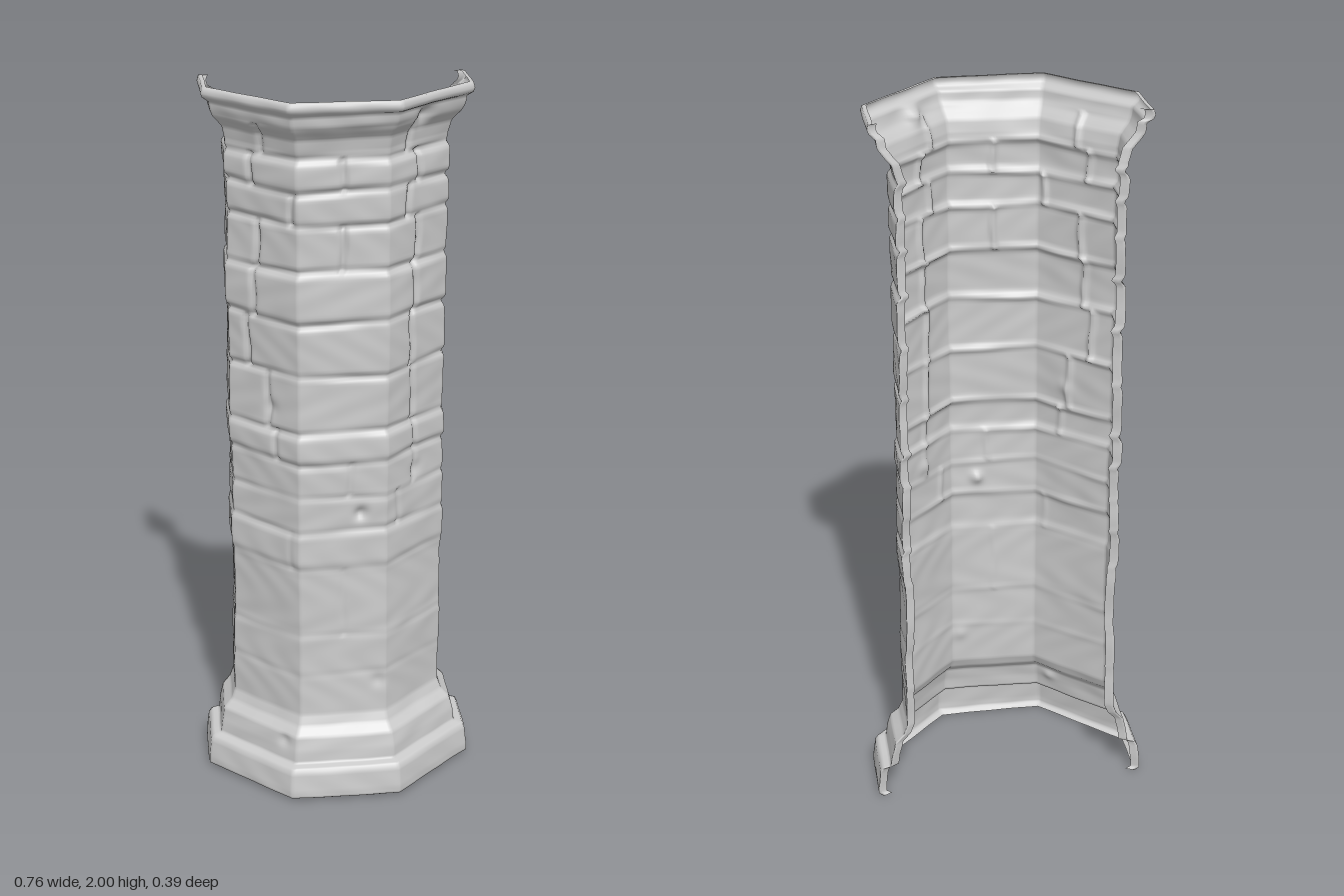
import * as THREE from 'three';

const T = Math.tan(Math.PI / 8); // mitre factor of an octagon corner

// Half-octagon plan of the shaft: [x, z, mitre x, mitre z], from -x round the front to +x
const HALF = [
  [0.272, -0.178, 1, 0], // small return lip at the open back
  [0.295, -0.19, 1, 0],
  [0.295, -0.06, 1, T],
  [0.12, 0.11, T, 1],
];
const PLAN = [
  ...HALF.map(([x, z, mx, mz]) => [-x, z, -mx, mz]),
  ...HALF.slice().reverse(),
];
const COLS = [3, 20, 36, 36, 36, 20, 3]; // columns per plan segment

// Side profile: [outward offset from the shaft, height]
const PROFILE = [
  [0.068, 0], [0.083, 0.01], [0.083, 0.03], [0.077, 0.085], [0.07, 0.098], [0.047, 0.104],
  [0.043, 0.14], [0.035, 0.18], [0.012, 0.205], [0.001, 0.235],
  [0, 0.6], [0, 1.2], [0, 1.86], [0.008, 1.895], [0.032, 1.925], [0.037, 1.935],
  [0.04, 1.962], [0.056, 1.974], [0.06, 1.985], [0.056, 1.998], [0.045, 2],
];

// Bed joints: [height, depth], worn shallow toward the base
const BEDS = [
  [0.36, 0.002], [0.48, 0.003], [0.69, 0.003], [0.8, 0.006], [0.9, 0.006], [1.0, 0.008],
  [1.09, 0.01], [1.25, 0.011], [1.4, 0.011], [1.54, 0.012], [1.665, 0.012],
  [1.755, 0.011], [1.84, 0.011], [1.93, 0.004],
];
// Upright joints in the course above each bed, by distance along the plan from the front centre
const UPRIGHTS = [
  [], [0.0], [-0.15], [0.17], [0.02, 0.24], [-0.2, 0.24], [-0.23, 0.23], [0.22, -0.3],
  [0.23, -0.27], [0.0, 0.24, -0.26], [0.2, -0.14], [0.0, 0.24, -0.28], [0.2, -0.24], [],
];
// Pits and bumps: [distance along plan, height, radius, depth]
const DENTS = [
  [0.05, 0.85, 0.025, 0.016], [0.23, 1.935, 0.035, 0.025], [-0.16, 0.16, 0.025, 0.008],
  [0.1, 0.33, 0.03, 0.006], [-0.22, 1.15, 0.03, 0.007], [0.25, 0.94, 0.03, 0.008],
];

const bump = (d, w) => Math.exp(-(d * d) / (w * w));

// Masonry relief at a point of the unrolled wall (s along the plan, y up)
function relief(s, y) {
  let r = 0.003 * Math.sin(s * 9 + y * 5) * Math.sin(y * 11 - s * 4)
    + 0.0012 * Math.sin(s * 43 + 3 * Math.sin(y * 19)) * Math.sin(y * 37 + s * 13);
  if (y > 0.24) {
    BEDS.forEach(([bed, depth], i) => {
      const line = bed + 0.004 * Math.sin(s * 11 + i * 2.3);
      const wear = 0.75 + 0.25 * Math.sin(s * 17 + i * 1.9);
      r -= depth * wear * bump(y - line, 0.009);
      const top = i + 1 < BEDS.length ? BEDS[i + 1][0] : bed;
      if (y >= bed && y < top) {
        // each course stands slightly proud or back
        r += 0.003 * Math.sin(i * 4.1) * Math.min(1, (y - bed) / 0.02, (top - y) / 0.02);
        for (const u of UPRIGHTS[i]) r -= depth * 0.85 * bump(s - u - 0.003 * Math.sin(y * 40), 0.008);
      }
    });
  }
  for (const [ds, dy, rad, depth] of DENTS) r -= depth * bump(Math.hypot(s - ds, y - dy), rad * 0.7);
  return r;
}

// Columns along the plan, with the distance from the front centre
function planColumns() {
  const cols = [];
  let length = 0;
  COLS.forEach((n, k) => {
    const a = PLAN[k], b = PLAN[k + 1];
    const seg = Math.hypot(b[0] - a[0], b[1] - a[1]);
    for (let j = k ? 1 : 0; j <= n; j++) {
      const t = j / n;
      cols.push({ p: a.map((v, c) => v + (b[c] - v) * t), s: length + seg * t });
    }
    length += seg;
  });
  cols.forEach((c) => { c.s -= length / 2; });
  return cols;
}

// Rows up the profile, kept dense in the mouldings
function profileRows() {
  const rows = [];
  for (let k = 0; k + 1 < PROFILE.length; k++) {
    const a = PROFILE[k], b = PROFILE[k + 1];
    const n = Math.max(2, Math.ceil(Math.hypot(b[0] - a[0], b[1] - a[1]) / 0.0075));
    for (let j = k ? 1 : 0; j <= n; j++) rows.push(a.map((v, c) => v + ((b[c] - v) * j) / n));
  }
  return rows.reverse();
}

function wallGeometry() {
  const cols = planColumns(), rows = profileRows();
  const geo = new THREE.PlaneGeometry(1, 1, cols.length - 1, rows.length - 1);
  const pos = geo.attributes.position;
  rows.forEach(([offset, y], r) => {
    cols.forEach(({ p: [x, z, mx, mz], s }, c) => {
      const d = offset + relief(s, y);
      // the broken back edges wander a little
      const edge = z < -0.15 ? 0.005 * Math.sin(y * 23 + x * 5) * Math.sin(y * 9) : 0;
      // mouldings have slightly uneven levels
      const sag = 0.004 * Math.sin(s * 8) * (y > 0.02 && y < 1.97 ? 1 : 0.3);
      const height = THREE.MathUtils.clamp(y + sag, 0, 2);
      pos.setXYZ(r * cols.length + c, x + mx * d, height, z + mz * d + edge);
    });
  });
  geo.computeVertexNormals();
  return geo;
}

export function createModel() {
  const group = new THREE.Group();
  group.name = 'halfOctagonPillar';
  const stone = new THREE.MeshStandardMaterial({ color: 0xcccccc, side: THREE.DoubleSide });
  const wall = new THREE.Mesh(wallGeometry(), stone);
  wall.name = 'masonryShell';
  group.add(wall);
  return group;
}
